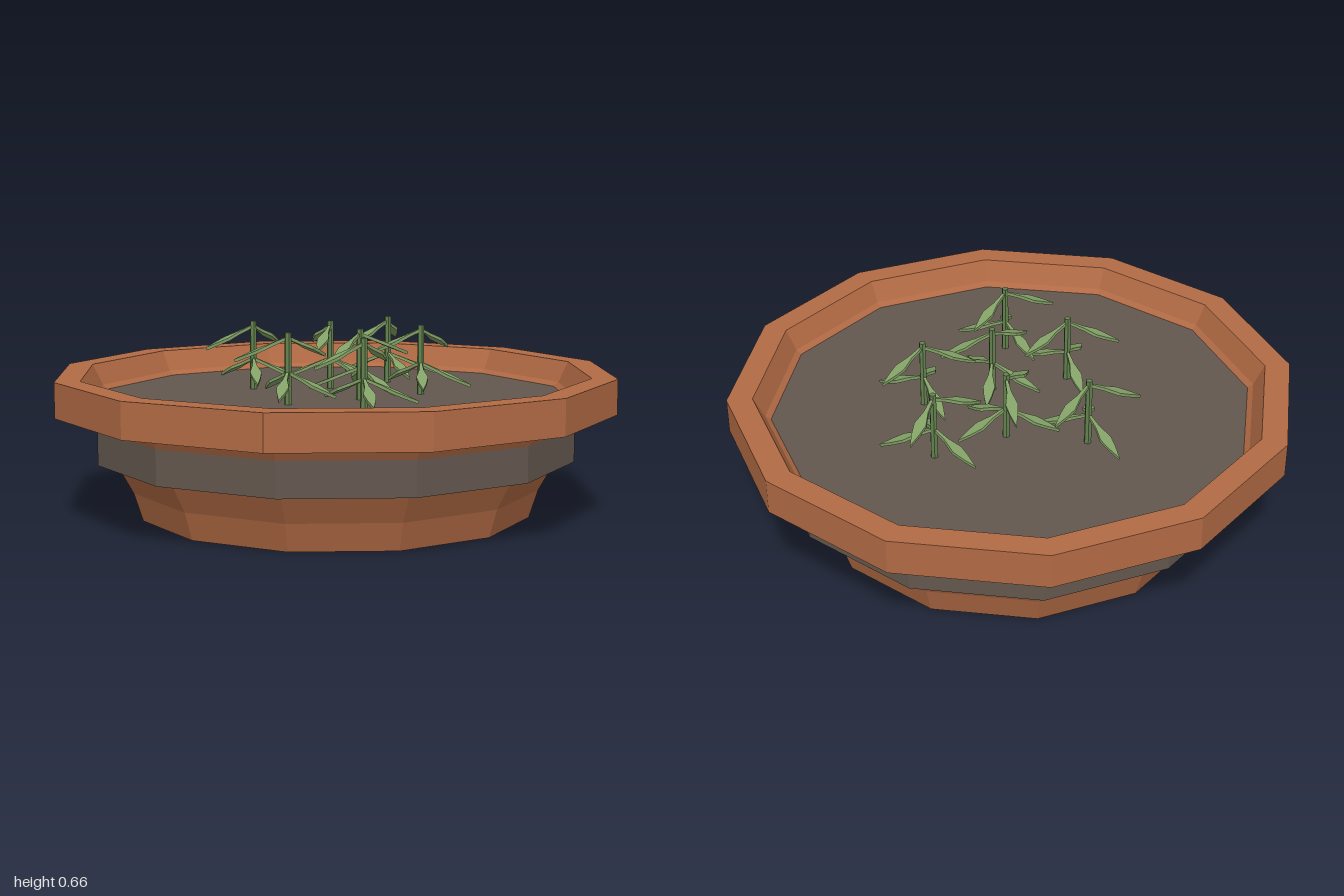
import * as THREE from 'three';

const mat = (name, color) => {
  const m = new THREE.MeshStandardMaterial({ color, flatShading: true });
  m.name = name;
  return m;
};

// Flat pointed leaf along +x on a thin stalk, drooping outwards
function leafGeometry() {
  const half = [[0, 0.004], [0.06, 0.008], [0.11, 0.021], [0.15, 0.014]];
  const outline = [
    ...half.map(([x, w]) => new THREE.Vector2(x, -w)),
    new THREE.Vector2(0.2, 0),
    ...half.map(([x, w]) => new THREE.Vector2(x, w)).reverse(),
  ];
  const g = new THREE.ExtrudeGeometry(new THREE.Shape(outline), { depth: 0.011, bevelEnabled: false });
  g.translate(0, 0, -0.0055);
  g.rotateX(-Math.PI / 2);
  g.rotateZ(-0.39);
  return g;
}

export function createModel() {
  const model = new THREE.Group();
  model.name = 'planter';
  const clay = mat('terracotta', 0xb16a44);
  const earth = mat('soil', 0x63574e);
  const stemGreen = mat('stem green', 0x64834f);
  const leafGreen = mat('leaf green', 0x82a066);

  // Twelve-sided bowl with a heavy rim and a narrow ledge at the soil line
  const profile = [
    [0, 0], [0.7, 0], [0.732, 0.1], [0.79, 0.205], [0.852, 0.322], [0.895, 0.393],
    [1, 0.375], [1, 0.5], [0.91, 0.5], [0.872, 0.425], [0.85, 0.408],
  ].map(([r, y]) => new THREE.Vector2(r, y));
  const bowl = new THREE.Mesh(new THREE.LatheGeometry(profile, 12), clay);
  bowl.name = 'bowl';
  model.add(bowl);

  // Deep soil slab, showing as a dark band around the outside
  const soil = new THREE.Mesh(new THREE.CylinderGeometry(0.855, 0.855, 0.205, 12), earth);
  soil.name = 'soil';
  soil.position.y = 0.3075;
  model.add(soil);

  // Seedlings: x, z and heading of the first upper leaf in degrees
  const seedlings = [
    [-0.105, -0.41, 121], [0.19, -0.25, 97], [-0.15, -0.14, 154], [-0.35, 0.06, 104],
    [0.12, 0, 281], [0.02, 0.26, 88], [0.325, 0.21, 106],
  ];
  // Two upper leaves and three lower ones: turn in degrees, height
  const whorl = [[0, 0.642], [144, 0.642], [72, 0.522], [216, 0.522], [288, 0.522]];
  const stemGeo = new THREE.CylinderGeometry(0.012, 0.013, 0.26, 6);
  const leafGeo = leafGeometry();
  for (const [x, z, heading] of seedlings) {
    const plant = new THREE.Group();
    plant.name = 'seedling';
    plant.position.set(x, 0, z);
    const stem = new THREE.Mesh(stemGeo, stemGreen);
    stem.name = 'stem';
    stem.position.y = 0.53;
    plant.add(stem);
    for (const [turn, y] of whorl) {
      const leaf = new THREE.Mesh(leafGeo, leafGreen);
      leaf.name = 'leaf';
      leaf.position.y = y;
      leaf.rotation.y = THREE.MathUtils.degToRad(heading + turn);
      plant.add(leaf);
    }
    model.add(plant);
  }
  return model;
}
